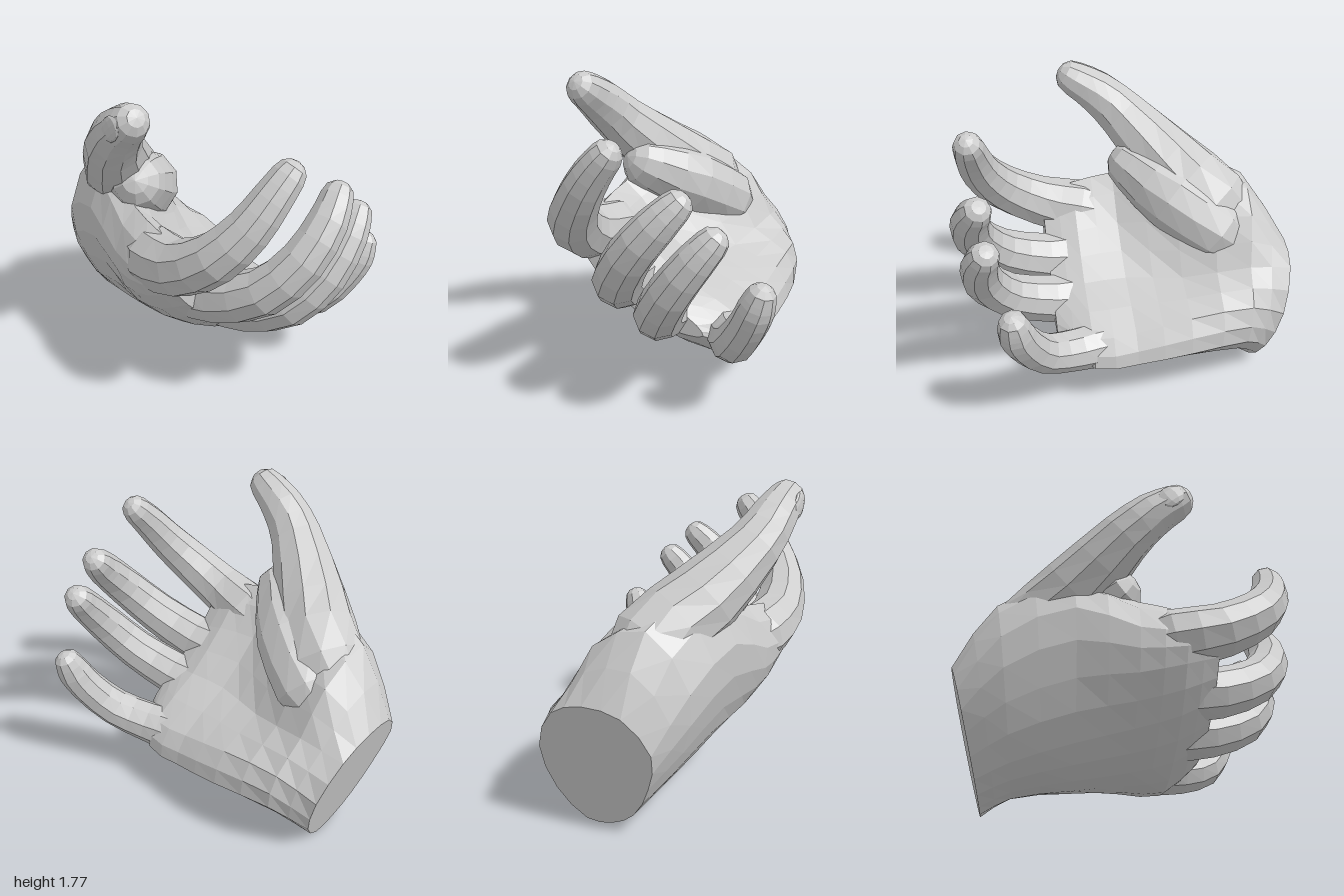
import * as THREE from 'three';

const skin = new THREE.MeshStandardMaterial({ color: 0xcccccc, flatShading: true });
const V = (x, y, z) => new THREE.Vector3(x, y, z);

// Closed skin over a list of rings, with a fan at each end
function loft(name, rings, startPoint, endPoint) {
  const n = rings[0].length, last = rings.length - 1;
  const points = [...rings.flat(), startPoint, endPoint];
  const index = [];
  const start = points.length - 2, end = points.length - 1;
  for (let j = 0; j < n; j++) {
    const k = (j + 1) % n;
    for (let i = 0; i < last; i++) {
      const a = i * n + j, b = i * n + k, c = b + n, d = a + n;
      index.push(a, b, c, a, c, d);
    }
    index.push(start, k, j, end, last * n + j, last * n + k);
  }
  const geometry = new THREE.BufferGeometry().setFromPoints(points);
  geometry.setIndex(index);
  geometry.computeVertexNormals();
  const mesh = new THREE.Mesh(geometry, skin);
  mesh.name = name;
  return mesh;
}

const centre = ring => ring.reduce((s, p) => s.add(p), V(0, 0, 0)).divideScalar(ring.length);

// Finger: joints are [x, y, z, radius], ending in a rounded tip
function finger(name, joints, sides = 9) {
  const path = new THREE.CatmullRomCurve3(joints.map(j => V(j[0], j[1], j[2])));
  const radius = new THREE.CatmullRomCurve3(joints.map(j => V(j[3], 0, 0)));
  const across = V(0, 0.5, 0.87);
  const ringAt = (p, t, r) => {
    const nrm = across.clone().addScaledVector(t, -across.dot(t)).normalize();
    const bin = t.clone().cross(nrm);
    return Array.from({ length: sides }, (_, j) => {
      const a = (j / sides) * Math.PI * 2;
      return p.clone().addScaledVector(nrm, r * Math.cos(a)).addScaledVector(bin, r * Math.sin(a));
    });
  };
  const rings = [];
  const steps = (joints.length - 1) * 2;
  for (let i = 0; i <= steps; i++) {
    const u = i / steps;
    rings.push(ringAt(path.getPoint(u), path.getTangent(u), radius.getPoint(u).x));
  }
  const p = path.getPoint(1), t = path.getTangent(1), r = joints.at(-1)[3];
  for (const a of [0.6, 1.1]) {
    rings.push(ringAt(p.clone().addScaledVector(t, r * Math.sin(a)), t, r * Math.cos(a)));
  }
  return loft(name, rings, path.getPoint(0), p.clone().addScaledVector(t, r));
}

// Palm: cross-sections of [z, y] from index side, round the back of the hand, to the thumb side
function palm() {
  const sections = [
    { x: -0.79, lean: -0.27, ring: [[.36, .55], [.31, .33], [.19, .12], [.04, .02], [-.12, .005], [-.28, .18], [-.33, .45], [-.2, .69], [0, .77], [.22, .74]] },
    { x: -0.62, lean: -0.13, ring: [[.47, .82], [.41, .47], [.25, .2], [.05, .1], [-.18, .13], [-.43, .35], [-.4, .57], [-.23, .74], [-.08, 1.0], [.24, 1.13]] },
    { x: -0.3, lean: -0.04, ring: [[.55, .98], [.48, .6], [.32, .3], [.1, .16], [-.2, .18], [-.48, .35], [-.4, .54], [-.13, .65], [.06, .93], [.36, 1.25]] },
    { x: 0, lean: 0, ring: [[.6, .86], [.55, .62], [.36, .38], [.1, .22], [-.2, .2], [-.46, .3], [-.38, .47], [-.04, .63], [.24, .85], [.46, 1.09]] },
    { x: 0.25, lean: 0, ring: [[.61, .85], [.56, .68], [.38, .46], [.1, .29], [-.2, .21], [-.44, .29], [-.37, .45], [-.04, .62], [.22, .83], [.47, 1.04]] },
    { x: 0.44, lean: 0, ring: [[.54, .87], [.5, .76], [.34, .58], [.08, .42], [-.12, .38], [-.22, .39], [-.18, .45], [0, .57], [.25, .76], [.44, .93]] },
  ];
  const around = 20;
  const coarse = sections.map(({ x, lean, ring }) => {
    const loop = new THREE.CatmullRomCurve3(ring.map(([z, y]) => V(x + lean * y, y, z)), true);
    return Array.from({ length: around }, (_, j) => loop.getPoint(j / around));
  });
  // Extra rings between the sections follow a smooth curve
  const strands = coarse[0].map((_, j) => new THREE.CatmullRomCurve3(coarse.map(r => r[j])));
  const steps = (sections.length - 1) * 2;
  const rings = Array.from({ length: steps + 1 }, (_, i) => strands.map(s => s.getPoint(i / steps)));
  return loft('palm', rings, centre(rings[0]), centre(rings[steps]));
}

export function createModel() {
  const hand = new THREE.Group();
  hand.name = 'hand';
  hand.add(palm());

  // Fleshy mound at the root of the thumb
  hand.add(finger('thumbMound', [
    [-.76, .7, .0, .08], [-.58, .86, .04, .2], [-.34, 1.03, .18, .21], [-.12, 1.17, .36, .16],
  ], 10));
  hand.add(finger('thumb', [
    [-.8, .74, .08, .1], [-.575, .99, .17, .23], [-.33, 1.2, .35, .21],
    [-.08, 1.45, .53, .155], [.07, 1.585, .58, .13], [.2, 1.668, .6, .105],
  ], 10));
  hand.add(finger('indexFinger', [
    [-.05, .82, .4, .1], [.2, .86, .46, .175], [.46, .925, .485, .155],
    [.68, 1.07, .43, .137], [.795, 1.24, .32, .118], [.835, 1.38, .22, .103], [.85, 1.485, .13, .088],
  ]));
  hand.add(finger('middleFinger', [
    [0, .56, .25, .1], [.22, .62, .27, .165], [.47, .66, .235, .15], [.73, .79, .15, .135],
    [.865, .99, .01, .122], [.875, 1.17, -.14, .107], [.84, 1.27, -.23, .088],
  ]));
  hand.add(finger('ringFinger', [
    [0, .4, .03, .1], [.22, .46, .05, .155], [.46, .5, .015, .143], [.71, .62, -.07, .13],
    [.835, .82, -.2, .118], [.845, 1.01, -.34, .102], [.82, 1.1, -.41, .088],
  ]));
  hand.add(finger('littleFinger', [
    [-.05, .34, -.24, .08], [.15, .35, -.28, .135], [.35, .37, -.34, .125], [.54, .45, -.44, .115],
    [.65, .62, -.55, .105], [.69, .73, -.6, .1], [.7, .8, -.625, .085],
  ]));

  // Thumbnail, a thin oval set into the front of the tip
  const nail = new THREE.Mesh(new THREE.SphereGeometry(1, 10, 6), skin);
  nail.name = 'thumbNail';
  nail.scale.set(.09, .065, .02);
  nail.position.set(.16, 1.645, .69);
  nail.rotation.set(0, 0, .7);
  hand.add(nail);
  return hand;
}
